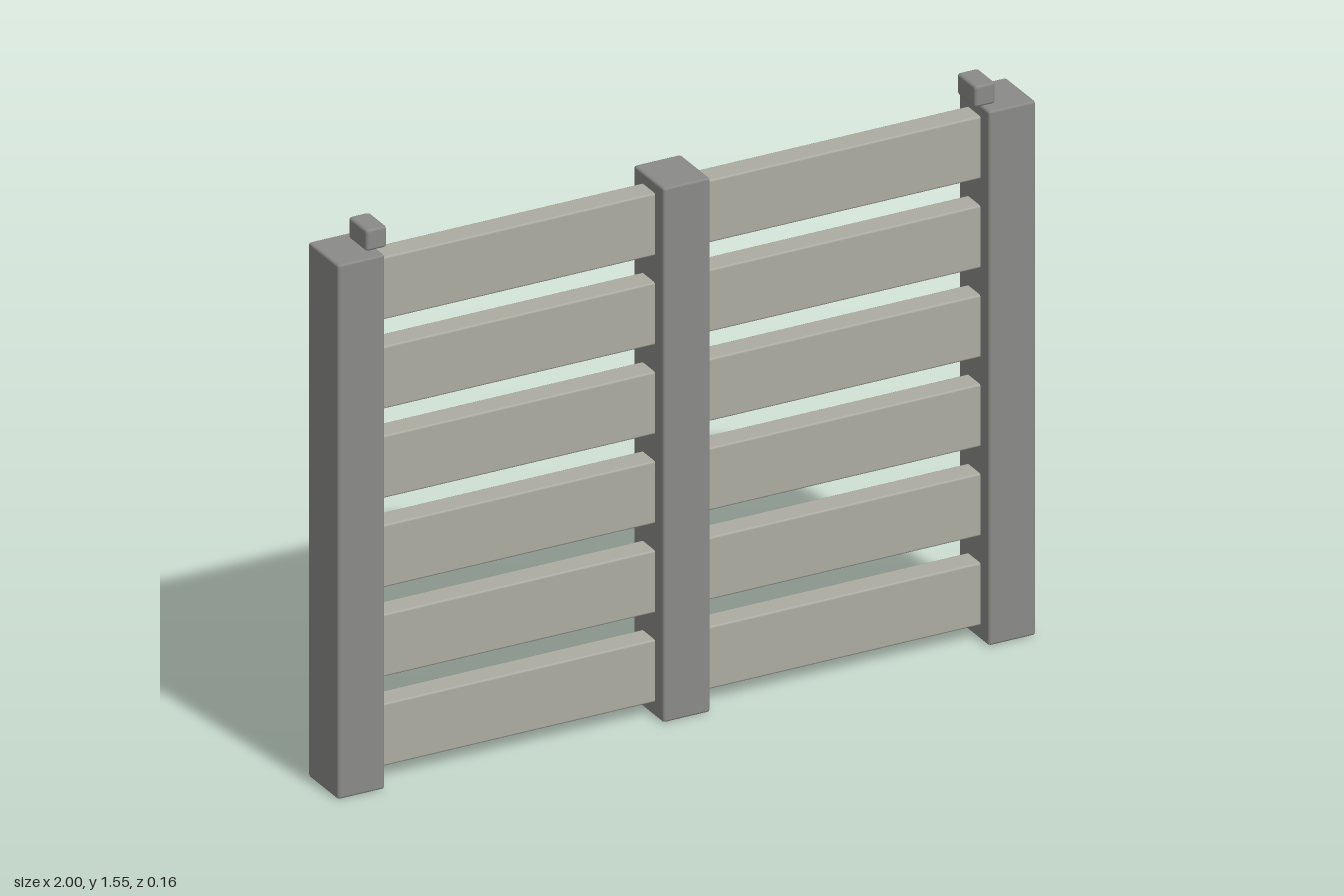
import * as THREE from 'three';
import { RoundedBoxGeometry } from 'three/addons/geometries/RoundedBoxGeometry.js';

const POST = { w: 0.135, h: 1.493, d: 0.158, bevel: 0.007 };
const SLAT = { h: 0.175, d: 0.07, bevel: 0.006, count: 6, first: 0.127, pitch: 0.2495 };
const CAP = { w: 0.06, h: 0.06, d: 0.096, bevel: 0.008 };

export function createModel() {
  const group = new THREE.Group();
  const postMaterial = new THREE.MeshStandardMaterial({ color: 0x8a8a88 });
  const slatMaterial = new THREE.MeshStandardMaterial({ color: 0xacaca2 });

  // Box with narrow bevelled edges
  function block(name, w, h, d, bevel, material, x, y) {
    const mesh = new THREE.Mesh(new RoundedBoxGeometry(w, h, d, 1, bevel), material);
    mesh.name = name;
    mesh.position.set(x, y, 0);
    group.add(mesh);
  }

  // Three upright posts
  const postX = 1 - POST.w / 2;
  [['rightPost', -postX], ['middlePost', 0], ['leftPost', postX]].forEach(([name, x]) =>
    block(name, POST.w, POST.h, POST.d, POST.bevel, postMaterial, x, POST.h / 2));

  // Horizontal slats, running into the outer posts
  for (let i = 0; i < SLAT.count; i++) {
    block(`slat${i + 1}`, 2 * postX, SLAT.h, SLAT.d, SLAT.bevel, slatMaterial,
      0, SLAT.first + i * SLAT.pitch);
  }

  // Small blocks on the inner top edges of the outer posts
  for (const [name, side] of [['rightTopBlock', -1], ['leftTopBlock', 1]]) {
    block(name, CAP.w, CAP.h, CAP.d, CAP.bevel, postMaterial,
      side * 0.872, POST.h + CAP.h / 2 + 0.002);
  }

  return group;
}
